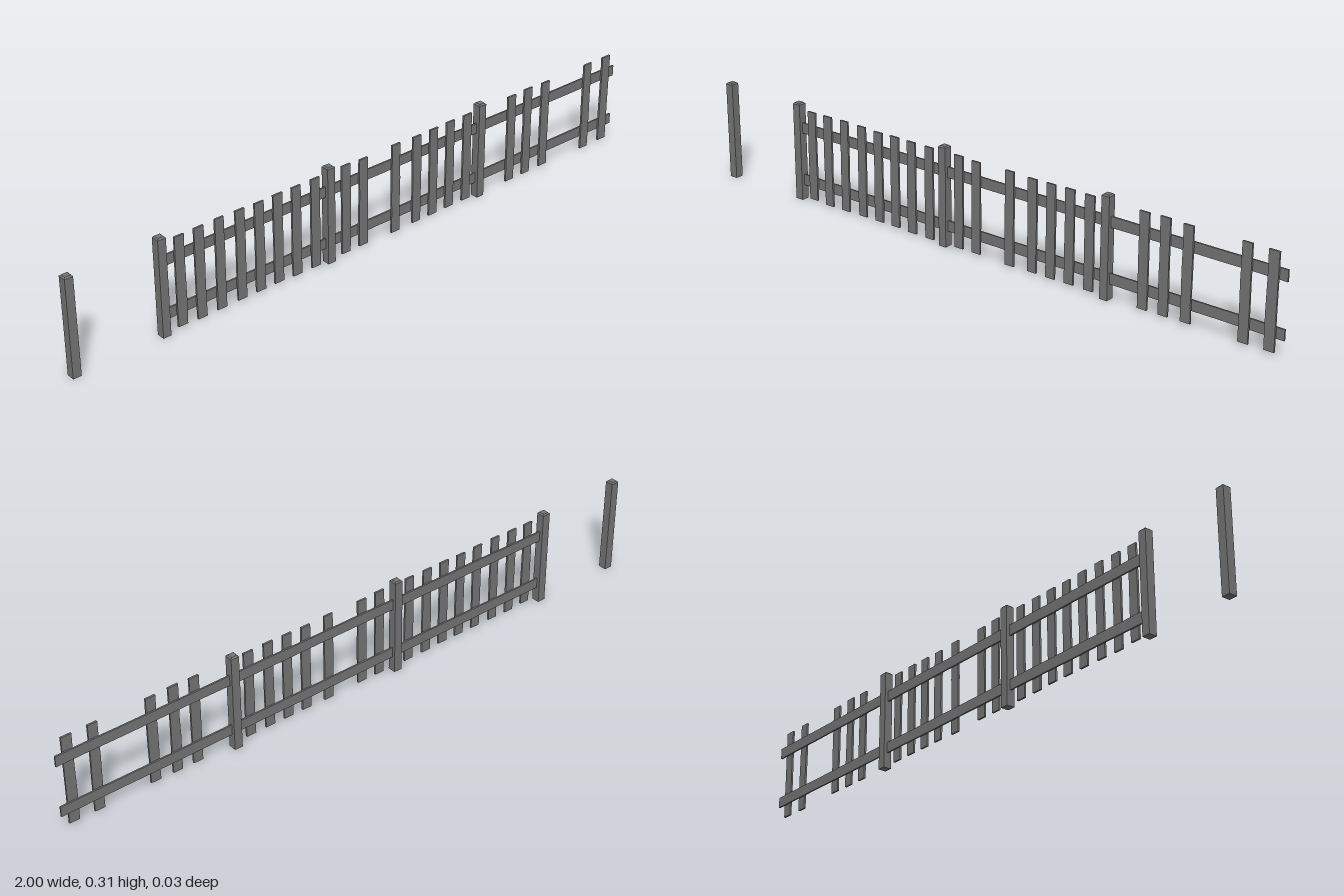
import * as THREE from 'three';

const wood = new THREE.MeshStandardMaterial({ color: 0x747474, flatShading: true });

// Repeatable small irregularity in the range -1..1
let seed = 7;
function wobble() {
  seed = (seed * 16807) % 2147483647;
  return (seed / 2147483647) * 2 - 1;
}

function addPart(group, name, geometry, x, y, z) {
  const mesh = new THREE.Mesh(geometry, wood);
  mesh.name = name;
  mesh.position.set(x, y, z);
  group.add(mesh);
}

// Square post, flat at the foot, with its top edges chamfered
function chamferedPost(w, h, chamfer) {
  const g = new THREE.BoxGeometry(w, h, w, 1, 2, 1);
  const p = g.attributes.position;
  const inset = 1 - (2 * chamfer) / w;
  for (let i = 0; i < p.count; i++) {
    const y = p.getY(i);
    if (y > h / 4) p.setXYZ(i, p.getX(i) * inset, y, p.getZ(i) * inset);
    else if (y > -h / 4) p.setY(i, h / 2 - chamfer);
  }
  g.computeVertexNormals();
  return g;
}

// Plank whose cross rows are nudged along its width, like rough-cut wood
function roughPlank(w, h, d, rows, amount, alongX) {
  const g = alongX
    ? new THREE.BoxGeometry(w, h, d, rows, 1, 1)
    : new THREE.BoxGeometry(w, h, d, 1, rows, 1);
  const p = g.attributes.position;
  const steps = Array.from({ length: rows + 1 }, () => [wobble() * amount, wobble() * amount]);
  for (let i = 0; i < p.count; i++) {
    const t = alongX ? p.getX(i) / w : p.getY(i) / h;
    const across = alongX ? p.getY(i) : p.getX(i);
    const shift = steps[Math.round((t + 0.5) * rows)][across > 0 ? 1 : 0];
    if (alongX) p.setY(i, across + shift);
    else p.setX(i, across + shift);
  }
  g.computeVertexNormals();
  return g;
}

export function createModel() {
  const fence = new THREE.Group();
  fence.name = 'fence';

  // Posts; the first one stands alone
  const postX = [-0.987, -0.702, -0.133, 0.438];
  const postGeometry = chamferedPost(0.026, 0.31, 0.004);
  for (const x of postX) addPart(fence, 'post', postGeometry, x, 0.155, 0);

  // Two rails in each bay, the last bay running on to the open end
  const ends = [-0.7, -0.133, 0.438, 1];
  for (let i = 0; i < 3; i++) {
    const length = ends[i + 1] - ends[i];
    const middle = (ends[i] + ends[i + 1]) / 2;
    for (const [name, y] of [['lowerRail', 0.064], ['upperRail', 0.231]]) {
      addPart(fence, name, roughPlank(length, 0.033, 0.005, 6, 0.0007, true), middle, y, 0);
    }
  }

  // Pickets nailed to the front of the rails, with gaps where some are missing
  const picketX = [
    -0.645, -0.581, -0.514, -0.445, -0.381, -0.317, -0.253, -0.186,
    -0.076, -0.012, 0.108, 0.188, 0.252, 0.316, 0.383,
    0.562, 0.629, 0.701, 0.88, 0.959,
  ];
  for (const x of picketX) {
    const height = 0.284 + wobble() * 0.003;
    const geometry = roughPlank(0.031, height, 0.006, 5, 0.0009, false);
    addPart(fence, 'picket', geometry, x, 0.151 + wobble() * 0.001, 0.0055);
  }

  return fence;
}
